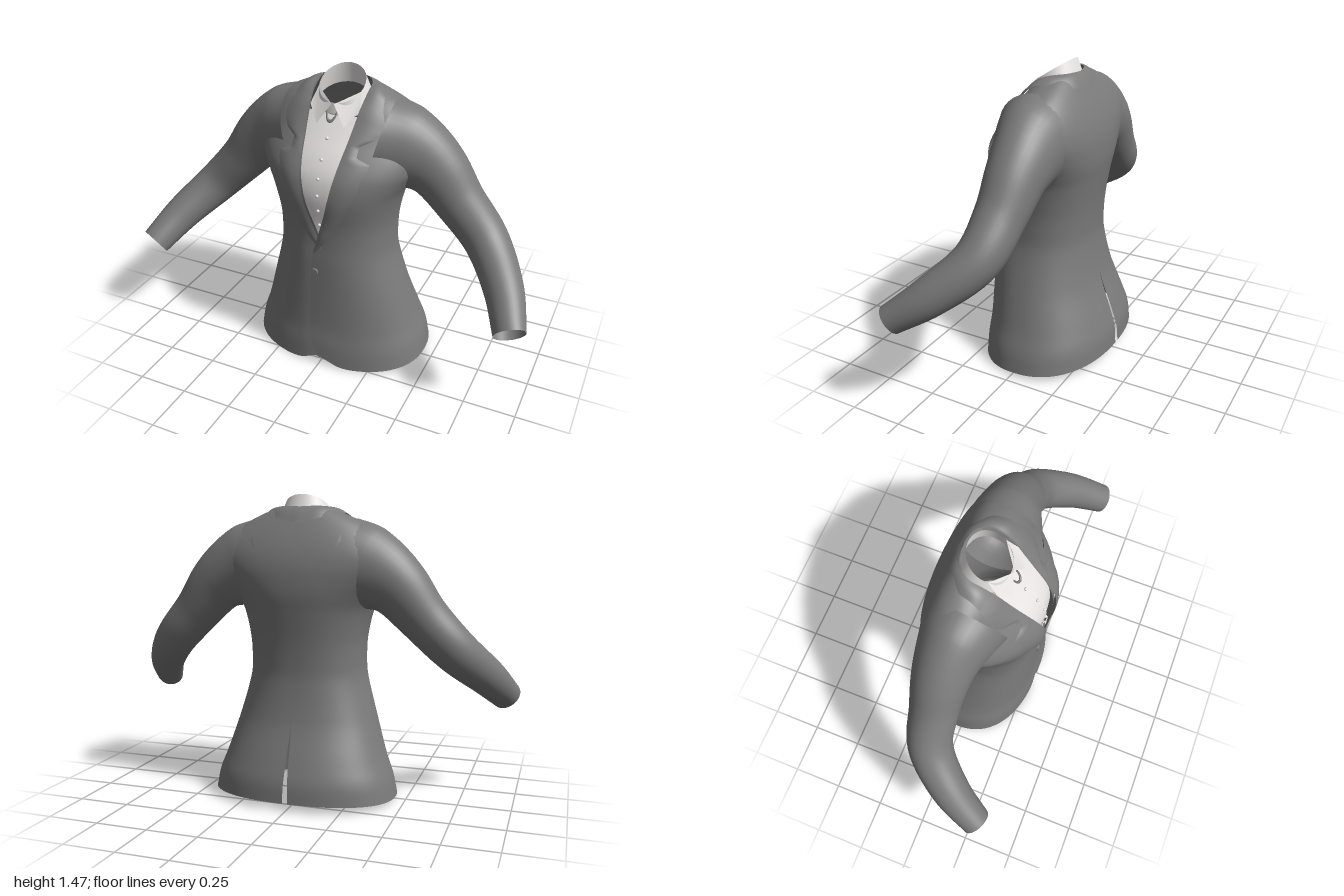
import * as THREE from 'three';
import { mergeGeometries, mergeVertices } from 'three/addons/utils/BufferGeometryUtils.js';

const { sin, cos, asin, abs, sign, pow, exp, min, max, PI } = Math;
const clamp01 = (v) => min(1, max(0, v));

// Smooth lookup in a table of [key, value...] rows
function lookup(tab, k, c = 1) {
  const n = tab.length - 1;
  if (k <= tab[0][0]) return tab[0][c];
  if (k >= tab[n][0]) return tab[n][c];
  let i = 0;
  while (k > tab[i + 1][0]) i++;
  const slope = (j) => {
    const a = tab[max(0, j - 1)], b = tab[min(n, j + 1)];
    return (b[c] - a[c]) / (b[0] - a[0]);
  };
  const [p, q] = [tab[i], tab[i + 1]], d = q[0] - p[0], t = (k - p[0]) / d;
  const t2 = t * t, t3 = t2 * t;
  return p[c] * (2 * t3 - 3 * t2 + 1) + slope(i) * d * (t3 - 2 * t2 + t)
    + q[c] * (3 * t2 - 2 * t3) + slope(i + 1) * d * (t3 - t2);
}

// Surface from fn(u, v) -> [x, y, z]
function grid(fn, rows, cols) {
  const pos = [], idx = [];
  for (let i = 0; i <= rows; i++) for (let j = 0; j <= cols; j++) pos.push(...fn(i / rows, j / cols));
  for (let i = 0; i < rows; i++) for (let j = 0; j < cols; j++) {
    const a = i * (cols + 1) + j, b = a + cols + 1;
    idx.push(a, a + 1, b, a + 1, b + 1, b);
  }
  const g = new THREE.BufferGeometry();
  g.setAttribute('position', new THREE.Float32BufferAttribute(pos, 3));
  g.setIndex(idx);
  return g;
}

// Weld pieces together and smooth them
function weld(...geos) {
  const g = mergeVertices(mergeGeometries(geos), 1e-4);
  g.computeVertexNormals();
  return g;
}

// Torso: height, half width, front z, back z
const BODY = [
  [0, .455, .29, -.352], [.1, .435, .285, -.345], [.2, .40, .275, -.318], [.4, .342, .27, -.256],
  [.6, .288, .268, -.222], [.7, .282, .265, -.222], [.8, .288, .27, -.23], [.93, .318, .288, -.248],
  [1.0, .355, .285, -.258], [1.06, .395, .27, -.26], [1.13, .425, .232, -.256], [1.2, .42, .178, -.24],
  [1.27, .378, .124, -.212], [1.335, .297, .076, -.178], [1.38, .205, .03, -.15], [1.41, .13, -.02, -.125],
];
// Section at a height; towards the shoulders it is rounder and its sides sweep back
function section(y) {
  const [w, f, b] = [1, 2, 3].map((c) => lookup(BODY, y, c)), s = exp(-pow((y - 1.17) / .13, 2));
  return { w, mid: (f + b) / 2, h: (f - b) / 2, n: 2.3 - .3 * s, sweep: .05 * s };
}
// Depth of the chest at a height and distance from the middle
function frontZ(y, x) {
  const { w, mid, h, n, sweep } = section(y), k = min(1, abs(x) / w);
  return mid + h * pow(1 - pow(k, n), 1 / n) - sweep * k * k;
}

// Front edges, measured towards each side; the left side overlaps the right
const NECKLINE = [[.75, .002], [.92, .053], [1.13, .096], [1.36, .128], [1.41, .128]];
const EDGE = {
  1: [[0, -.004], [.06, -.03], [.17, -.055], [.4, -.05], [.62, -.035], ...NECKLINE],
  '-1': [[0, .0], [.06, -.006], [.17, -.015], [.62, -.02], ...NECKLINE],
};
const tuck = (s, y, xs) => s > 0 ? 0 : .01 * clamp01(1 - (xs + .02) / .1) * clamp01((.82 - y) / .1);

function jacketHalf(s) {
  return grid((u, v) => {
    if (s < 0) v = 1 - v;
    const y = 1.41 * (1 - pow(1 - u, 1.5)), { w, mid, h, n, sweep } = section(y);
    const e = lookup(EDGE[s], y);
    const vent = y < .43 ? .013 * (1 - y / .43) : 0;
    const t0 = sign(e) * asin(min(1, pow(abs(e) / w, n / 2)));
    const t = t0 + (PI - asin(pow(vent / w, n / 2)) - t0) * v;
    const xs = w * sign(sin(t)) * pow(abs(sin(t)), 2 / n);
    const z = mid + h * sign(cos(t)) * pow(abs(cos(t)), 2 / n) - sweep * pow(xs / w, 2);
    // hem rises to the back and is rounded away at the front opening
    const hem = .005 + .04 * (1 - cos(t)) / 2 + (cos(t) > 0 ? .045 * exp(-pow(xs / .08, 2)) : 0);
    return [s * xs, y + hem * clamp01(1 - y / .4), z - (cos(t) > 0 ? tuck(s, y, xs) : 0)];
  }, 80, 56);
}

// Sleeve: centre x, y, z, then the half height and half depth of the section
const SLEEVE = [
  [.20, 1.155, -.03, .212, .20], [.30, 1.128, -.042, .206, .17], [.38, 1.095, -.05, .177, .148],
  [.457, 1.042, -.052, .148, .133], [.572, .91, -.045, .12, .115], [.718, .757, -.015, .106, .105],
  [.855, .612, .135, .091, .09], [.935, .495, .295, .075, .068],
];
function sleeve(s) {
  const path = new THREE.CatmullRomCurve3(SLEEVE.map((r) => new THREE.Vector3(r[0], r[1], r[2])));
  const size = SLEEVE.map((r, i) => [i, r[3], r[4]]);
  return grid((u, v) => {
    const c = path.getPoint(u), n = path.getTangent(u), k = u * (SLEEVE.length - 1), a = s * v * 2 * PI;
    const up = new THREE.Vector3(-n.y, n.x, 0).normalize(), side = n.clone().cross(up);
    c.addScaledVector(up, cos(a) * lookup(size, k, 1)).addScaledVector(side, sin(a) * lookup(size, k, 2));
    return [s * c.x, c.y, c.z];
  }, 48, 36);
}

// Lapel and collar outline: height, distance from the middle, with the notch
const LAPEL = [
  [.64, -.028], [.72, .035], [.82, .10], [.92, .15], [1.0, .19], [1.06, .20], [1.1, .218], [1.125, .222],
  [1.15, .162], [1.19, .16], [1.215, .215], [1.24, .235], [1.28, .243], [1.33, .222],
];
function lapel(s) {
  const rows = [], vec = (p) => new THREE.Vector3(...p), front = (y, x, v) =>
    [x, y, frontZ(y, x) - tuck(s, y, x) + (.015 - .004 * v + .007 * sin(PI * v)) * clamp01((y - .62) / .12)];
  for (let i = 0; i < LAPEL.length - 1; i++) for (let k = 0; k < 4; k++) {
    const t = k / 4, y = LAPEL[i][0] + (LAPEL[i + 1][0] - LAPEL[i][0]) * t;
    const out = LAPEL[i][1] + (LAPEL[i + 1][1] - LAPEL[i][1]) * t, inn = lookup(EDGE[s], y);
    rows.push((v) => front(y, inn + (out - inn) * v, v));
  }
  // round the back of the neck
  const inner = new THREE.CatmullRomCurve3([front(1.33, lookup(EDGE[s], 1.33), 0),
    [.132, 1.39, .015], [.128, 1.412, -.045], [.085, 1.418, -.105], [0, 1.415, -.128]].map(vec));
  const outer = new THREE.CatmullRomCurve3([front(1.33, .222, 1),
    [.208, 1.375, .0], [.185, 1.385, -.08], [.115, 1.365, -.152], [0, 1.338, -.184]].map(vec));
  for (let k = 0; k <= 20; k++) rows.push((v) => {
    const p = inner.getPoint(k / 20).lerp(outer.getPoint(k / 20), v);
    return [p.x, p.y + .01 * sin(PI * v), p.z];
  });
  const n = rows.length - 1;
  return grid((u, v) => {
    const p = rows[Math.round(u * n)](s < 0 ? 1 - v : v);
    return [s * p[0], p[1], p[2]];
  }, n, 8);
}

export function createModel() {
  const group = new THREE.Group();
  const material = (name, color) => new THREE.MeshStandardMaterial({ name, color, side: THREE.DoubleSide });
  const cloth = material('jacket grey', 0x7a7a7a), linen = material('shirt white', 0xe8e4e4);
  const add = (name, geo, mat, x = 0, y = 0, z = 0) => {
    const m = new THREE.Mesh(geo, mat);
    m.name = name;
    m.position.set(x, y, z);
    group.add(m);
    return m;
  };

  // Jacket
  add('jacketBody', weld(jacketHalf(1), jacketHalf(-1)), cloth);
  add('lapelsAndCollar', weld(lapel(1), lapel(-1)), cloth);
  for (const s of [1, -1]) add(s > 0 ? 'leftSleeve' : 'rightSleeve', weld(sleeve(s)), cloth);
  const button = add('jacketButton', new THREE.CylinderGeometry(.018, .018, .012, 20), cloth,
    -.022, .545, frontZ(.545, 0) + .004);
  button.rotation.x = PI / 2;

  // Shirt front with placket and buttons
  const shirtZ = (y, x) => frontZ(y, x) - .02;
  add('shirtFront', weld(grid((u, v) => {
    const y = .68 + .61 * u, x = (v * 2 - 1) * (max(0, lookup(NECKLINE, y)) + .025);
    return [x, y, shirtZ(y, x)];
  }, 30, 16)), linen);
  add('placket', weld(grid((u, v) => {
    const y = .74 + .54 * u, x = (v * 2 - 1) * .02;
    return [x, y, shirtZ(y, x) + .004];
  }, 24, 2)), linen);
  for (let y = .8; y < 1.25; y += .08)
    add('shirtButton', new THREE.SphereGeometry(.008, 12, 8), linen, 0, y, shirtZ(y, 0) + .006);

  // Standing neck band, tilted up to the back, and the folded layer over it
  const band = (r0, r1, drop, grow) => grid((u, v) => {
    const a = v * 2 * PI, k = (1 - cos(a)) / 2, r = r0 + (r1 - r0) * u;
    return [r * sin(a), 1.285 + .11 * k + u * (.06 + .018 * k) - (1 - u) * drop,
      .092 - .208 * k + u * (.004 + .012 * k) + (1 - u) * grow * cos(a)];
  }, 6, 40);
  add('shirtNeckBand', weld(band(.125, .108, .02, 0)), linen);
  add('shirtCollarFold', weld(band(.132, .109, -.01, .008)), linen);
  for (const s of [1, -1]) {
    const wing = [[.006, 1.342, .104], [.068, 1.25, .135], [.122, 1.32, .082], [.104, 1.39, .03]];
    add('collarPoint', weld(grid((u, v) => {
      const p = wing[u ? (v ? 2 : 3) : (v ? 1 : 0)];
      return [s * p[0], p[1], p[2]];
    }, 1, 1)), linen);
  }
  // Small loop under the collar join
  const loop = add('collarLoop', new THREE.TorusGeometry(.023, .004, 8, 20, PI), cloth, 0, 1.31, .11);
  loop.scale.y = 2;
  loop.rotation.set(-.6, 0, PI);
  return group;
}
